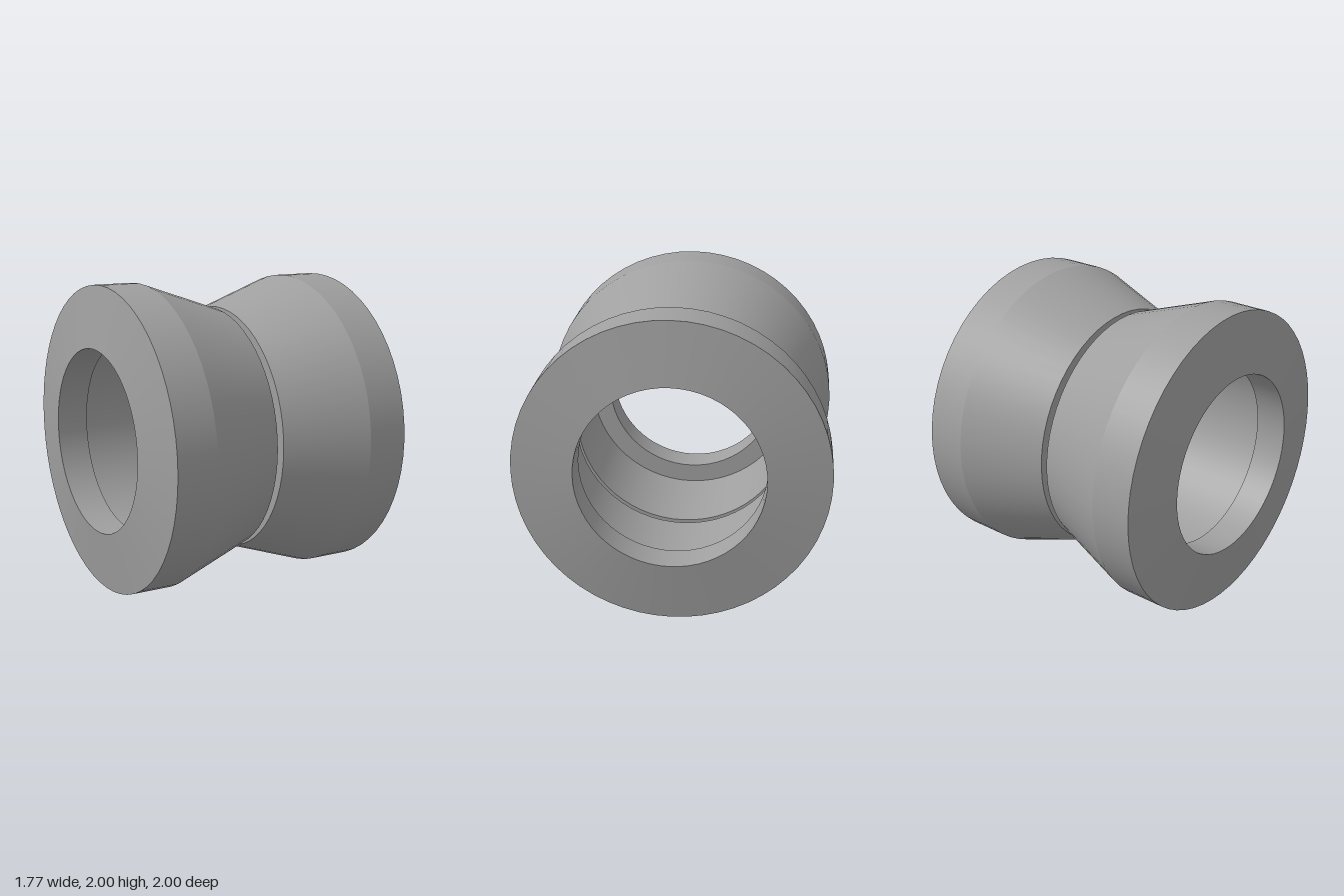
import * as THREE from 'three';
import { mergeGeometries } from 'three/addons/utils/BufferGeometryUtils.js';

// Closed section of one half: [radius, distance from the middle]
const SECTION = [
  [0.815, 0.022], // gap face, outer edge
  [1, 0.56],      // top of the groove slope
  [1, 0.83],      // rim
  [0.6, 0.887],   // coned end face
  [0.6, 0.675],   // end lip bore
  [0.73, 0.675],  // shoulder behind the lip
  [0.73, 0.022],  // wider seat bore
];

// Lathe each section edge on its own, so edges stay sharp and rounds stay smooth
function turnedRing(section, sides) {
  const points = section.map(([r, d]) => new THREE.Vector2(r, d));
  return mergeGeometries(points.map((p, i) =>
    new THREE.LatheGeometry([p, points[(i + 1) % points.length]], sides)));
}

export function createModel() {
  const model = new THREE.Group();
  model.name = 'grooveRoller';
  const steel = new THREE.MeshStandardMaterial({ color: 0x9f9f9f });
  steel.name = 'grey steel';

  // Two mirrored halves with a narrow gap between them
  const ring = turnedRing(SECTION, 60);
  for (const side of [1, -1]) {
    const half = new THREE.Mesh(ring, steel);
    half.name = side > 0 ? 'leftHalf' : 'rightHalf';
    half.rotation.z = -side * Math.PI / 2;
    half.position.y = 1;
    model.add(half);
  }
  return model;
}
